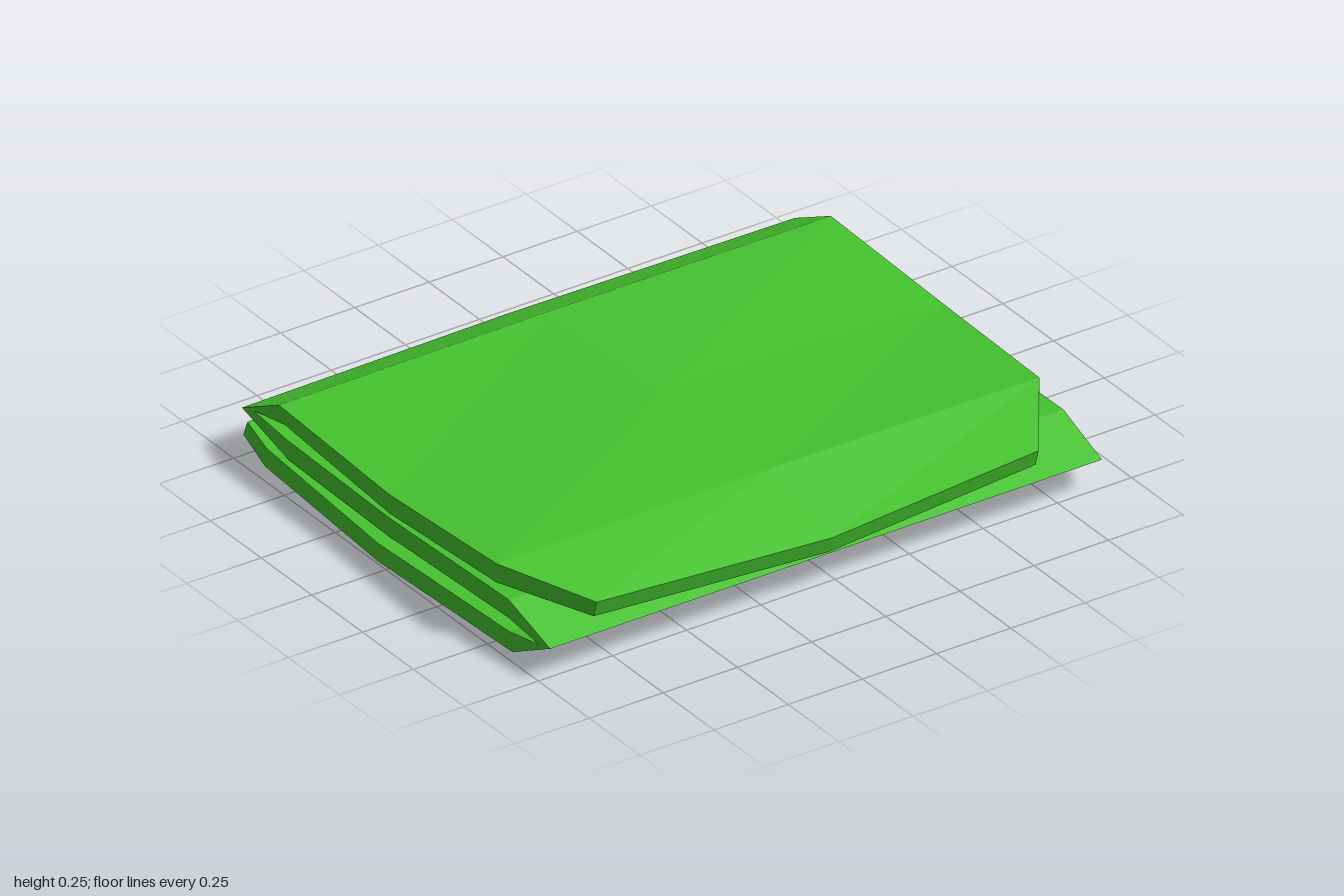
import * as THREE from 'three';

// Stations along the Z-folded strip, from the upper front end to the lower back end.
// xLeft, xRight, skin A (z, y), skin B (z, y), shift of the middle column (dz, dy)
const STATIONS = [
  [-0.81, 0.68, 0.76, 0.198, 0.745, 0.146, 0.038, -0.026], // upper free end
  [-0.97, 0.86, 0.50, 0.250, 0.50, 0.190, 0, 0.005],
  [-0.96, 0.91, -0.04, 0.210, -0.04, 0.150, 0, 0.032],
  [-0.95, 0.91, -0.60, 0.228, -0.57, 0.178, 0, 0.004],
  [-0.955, 0.91, -0.775, 0.138, -0.72, 0.155, -0.025, -0.008], // back fold
  [-0.96, 0.91, -0.54, 0.085, -0.54, 0.145, 0, 0],
  [-0.96, 0.92, -0.04, 0.075, -0.04, 0.135, 0, 0],
  [-0.97, 0.90, 0.56, 0.105, 0.56, 0.163, 0, 0],
  [-0.97, 0.89, 0.71, 0.090, 0.765, 0.103, 0, 0], // front fold
  [-0.97, 0.90, 0.56, 0.062, 0.58, 0.004, 0, 0],
  [-1.00, 1.00, -0.04, 0.068, -0.04, 0.010, 0, -0.008],
  [-0.97, 0.92, -0.63, 0.080, -0.64, 0.019, 0, -0.004],
  [-0.95, 0.91, -0.755, 0.100, -0.775, 0.050, 0, 0], // lower free end
];
const MIDDLE_X = -0.04;

function foldedSheet() {
  const positions = [];
  const quad = (a, b, c, d) => positions.push(...a, ...b, ...c, ...a, ...c, ...d);

  // Three columns of points (left edge, middle, right edge) for one skin
  const skin = (k) => STATIONS.map((s) => [
    [s[0], s[k + 1], s[k]],
    [MIDDLE_X, s[k + 1] + s[7], s[k] + s[6]],
    [s[1], s[k + 1], s[k]],
  ]);
  const A = skin(2);
  const B = skin(4);
  const last = STATIONS.length - 1;

  for (let i = 0; i < last; i++) {
    // Two skins of the cloth
    for (let c = 0; c < 2; c++) {
      quad(A[i][c], A[i][c + 1], A[i + 1][c + 1], A[i + 1][c]);
      quad(B[i][c], B[i + 1][c], B[i + 1][c + 1], B[i][c + 1]);
    }
    // Side edges
    quad(A[i][2], B[i][2], B[i + 1][2], A[i + 1][2]);
    quad(A[i][0], A[i + 1][0], B[i + 1][0], B[i][0]);
  }
  // Free end edges
  for (let c = 0; c < 2; c++) {
    quad(B[0][c], B[0][c + 1], A[0][c + 1], A[0][c]);
    quad(B[last][c], A[last][c], A[last][c + 1], B[last][c + 1]);
  }

  const geometry = new THREE.BufferGeometry();
  geometry.setAttribute('position', new THREE.Float32BufferAttribute(positions, 3));
  geometry.computeVertexNormals();
  return geometry;
}

export function createModel() {
  const group = new THREE.Group();
  group.name = 'foldedCloth';
  const cloth = new THREE.Mesh(
    foldedSheet(),
    new THREE.MeshStandardMaterial({ color: 0x45c32f, flatShading: true })
  );
  cloth.name = 'cloth';
  group.add(cloth);
  return group;
}
